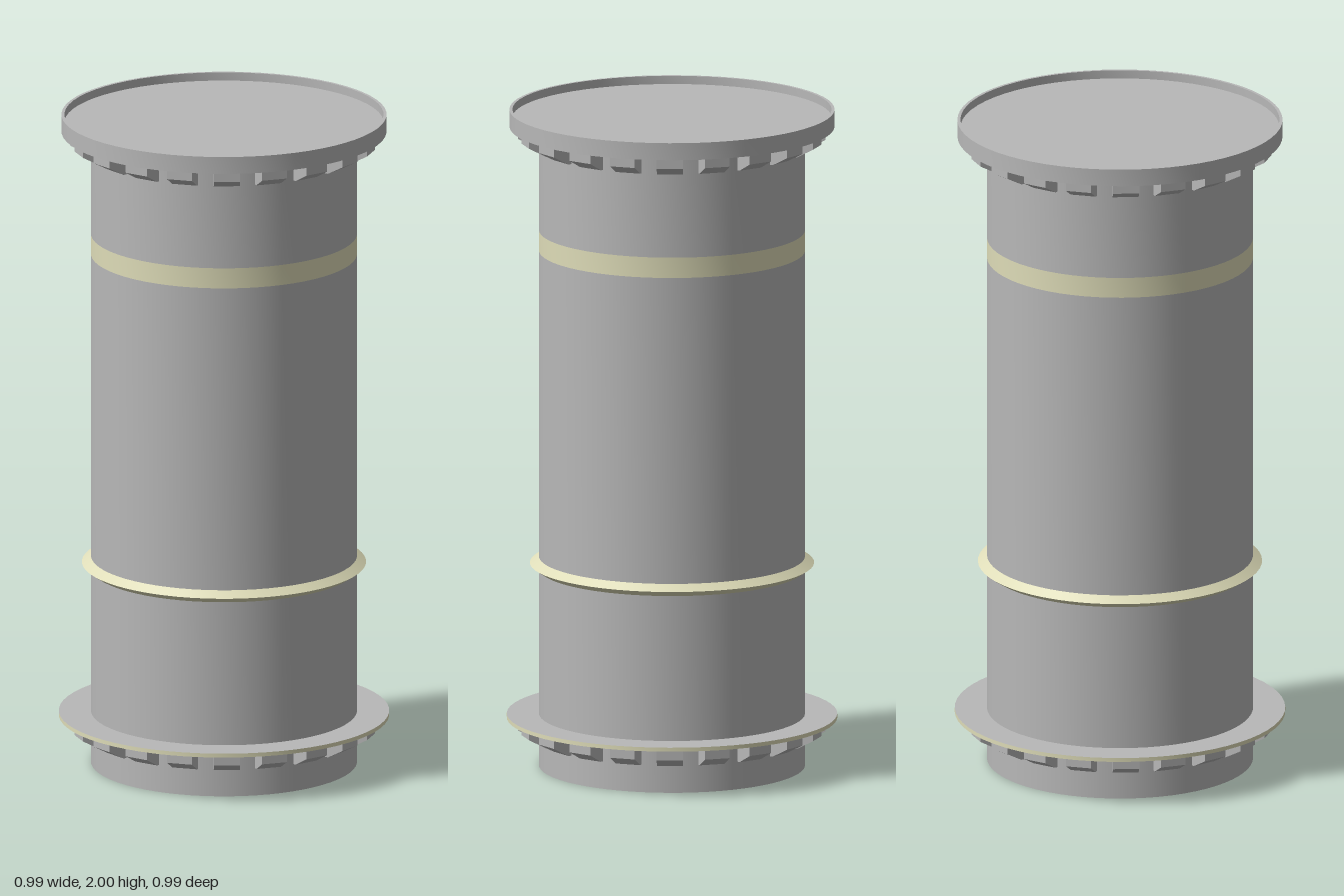
import * as THREE from 'three';
import { toCreasedNormals } from 'three/addons/utils/BufferGeometryUtils.js';

const SEGMENTS = 64;
const BODY_R = 0.397;

export function createModel() {
  const model = new THREE.Group();
  model.name = 'canister';

  const grey = new THREE.MeshStandardMaterial({ color: 0xb8b8b8 });
  grey.name = 'grey metal';
  const cream = new THREE.MeshStandardMaterial({ color: 0xdedcb8 });
  cream.name = 'cream trim';

  // Turned part from [radius, height] points, listed upwards on the outside
  function turned(name, points, material) {
    const lathe = new THREE.LatheGeometry(points.map(([r, y]) => new THREE.Vector2(r, y)), SEGMENTS);
    const mesh = new THREE.Mesh(toCreasedNormals(lathe, 0.4), material);
    mesh.name = name;
    model.add(mesh);
  }

  // Body, split by a flush painted band
  turned('lowerBody', [[0, 0], [BODY_R, 0], [BODY_R, 1.57]], grey);
  turned('paintedBand', [[BODY_R, 1.57], [BODY_R, 1.632]], cream);
  turned('upperBody', [[BODY_R, 1.632], [BODY_R, 1.95]], grey);

  // Cap with a raised lip around a recessed top
  turned('topCap', [
    [BODY_R, 1.948], [0.485, 1.948], [0.485, 2], [0.476, 2], [0.476, 1.975], [0, 1.975],
  ], grey);

  // Sharp-edged trim ring
  turned('trimRing', [[BODY_R, 0.6], [0.424, 0.618], [BODY_R, 0.637]], cream);

  // Thin lower flange with a trimmed edge
  turned('flangeUnderside', [[BODY_R, 0.146], [0.493, 0.146]], grey);
  turned('flangeEdge', [[0.493, 0.146], [0.493, 0.158]], cream);
  turned('flangeTop', [[0.493, 0.158], [BODY_R, 0.158]], grey);

  // Bracket: upright outer face with a sloped underside, hung from a flange
  const profile = new THREE.Shape([
    [0.385, 0], [0.385, -0.062], [0.405, -0.062], [0.458, -0.034], [0.458, 0],
  ].map(([x, y]) => new THREE.Vector2(x, y)));
  const bracket = new THREE.ExtrudeGeometry(profile, { depth: 0.078, bevelEnabled: false });
  bracket.translate(0, 0, -0.039);

  function bracketRing(name, y) {
    const ring = new THREE.Group();
    ring.name = name;
    ring.position.y = y;
    const count = 20;
    for (let i = 0; i < count; i++) {
      const mesh = new THREE.Mesh(bracket, grey);
      mesh.name = 'bracket';
      mesh.rotation.y = (i / count) * Math.PI * 2 - Math.PI / 2 - 0.056;
      ring.add(mesh);
    }
    model.add(ring);
  }
  bracketRing('upperBrackets', 1.95);
  bracketRing('lowerBrackets', 0.146);

  return model;
}
